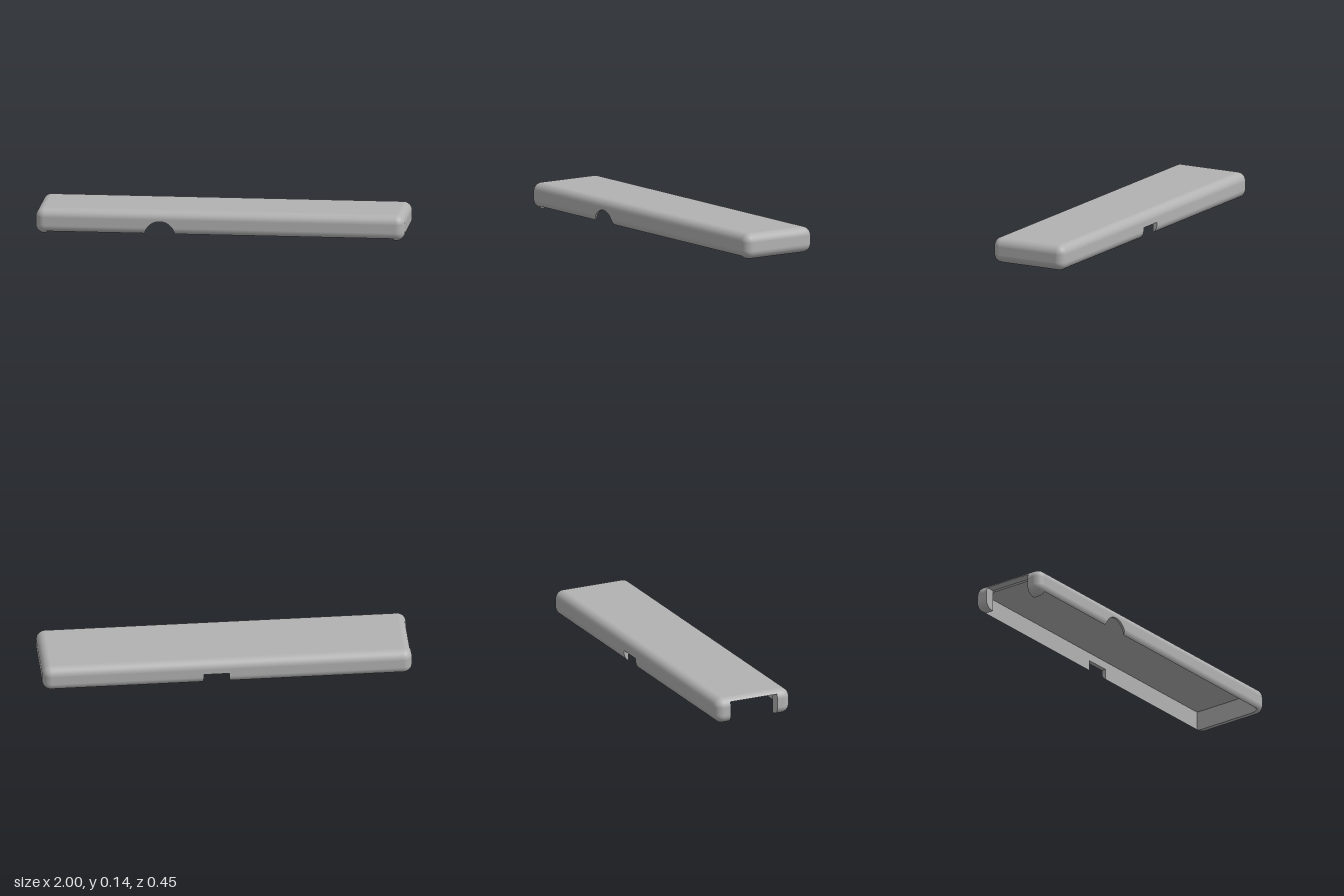
import * as THREE from 'three';
import { mergeVertices, toCreasedNormals } from 'three/addons/utils/BufferGeometryUtils.js';

const H = 0.14, R = 0.048;                // height and edge radius
const CX = 1 - R, CZ = 0.223 - R;         // flat core of the rounded box
const CAV = { x: 0.94, front: 0.21, back: -0.198, top: 0.11 };
const SLOT = { half: 0.14, top: 0.12 };   // open slot in the -x end
const NOTCH = { x0: -0.01, x1: 0.13, top: 0.065 };
const ARCH = { x: -0.325, r: 0.083 };

// Distance of the rounded side from the core at height y
function bulge(y) {
  const d = y > H - R ? y - (H - R) : y < R ? y - R : 0;
  return Math.sqrt(Math.max(0, R * R - d * d));
}

// Height at which the lower rounding meets a cavity wall
const lipHeight = (z) => R - Math.sqrt(R * R - (Math.abs(z) - CZ) ** 2);

// Turn [position, lower edge] points into columns, splitting vertical jumps
function addWall(columns, points, place) {
  points.forEach(([p, y], i) => {
    const prev = points[i - 1];
    if (prev && prev[0] === p) {
      const lo = Math.min(prev[1], y), span = Math.abs(y - prev[1]);
      for (let k = 1; k < 10; k++) {
        const t = y > prev[1] ? k / 10 : 1 - k / 10;
        columns.push({ ...place(p), low: lo + span * t * t });
      }
    }
    columns.push({ ...place(p), low: y });
  });
}

function addCorner(columns, x, z, from) {
  for (let k = 0; k <= 10; k++) {
    const a = from - (k / 10) * Math.PI / 2;
    columns.push({ x, z, dx: Math.cos(a), dz: Math.sin(a), low: 0 });
  }
}

// Columns running once round the outside, each with its own lower edge
function perimeter() {
  const columns = [];
  const fl = lipHeight(CAV.front), bl = lipHeight(CAV.back);

  // Front wall with the half-round thumb cut
  const front = [[-CX, 0], [-CAV.x, 0], [-CAV.x, fl]];
  const aMax = Math.acos(Math.sqrt(ARCH.r ** 2 - fl ** 2) / ARCH.r);
  for (let k = 0; k <= 32; k++) {
    const a = Math.PI - aMax - (k / 32) * (Math.PI - 2 * aMax);
    front.push([ARCH.x + ARCH.r * Math.cos(a), ARCH.r * Math.sin(a)]);
  }
  front.push([CAV.x, fl], [CAV.x, 0], [CX, 0]);
  addWall(columns, front, (x) => ({ x, z: CZ, dx: 0, dz: 1 }));
  addCorner(columns, CX, CZ, Math.PI / 2);

  // Closed end
  addWall(columns, [[CZ, 0], [-CZ, 0]], (z) => ({ x: CX, z, dx: 1, dz: 0 }));
  addCorner(columns, CX, -CZ, 0);

  // Back wall with the square notch
  addWall(columns, [
    [CX, 0], [CAV.x, 0], [CAV.x, bl],
    [NOTCH.x1, bl], [NOTCH.x1, NOTCH.top], [NOTCH.x0, NOTCH.top], [NOTCH.x0, bl],
    [-CAV.x, bl], [-CAV.x, 0], [-CX, 0],
  ], (x) => ({ x, z: -CZ, dx: 0, dz: -1 }));
  addCorner(columns, -CX, -CZ, -Math.PI / 2);

  // Slotted end
  addWall(columns, [
    [-CZ, 0], [-SLOT.half, 0], [-SLOT.half, SLOT.top],
    [SLOT.half, SLOT.top], [SLOT.half, 0], [CZ, 0],
  ], (z) => ({ x: -CX, z, dx: -1, dz: 0 }));
  addCorner(columns, -CX, CZ, Math.PI);
  return columns;
}

function outerPoint(c, y) {
  const s = bulge(y);
  return new THREE.Vector3(c.x + c.dx * s, y, c.z + c.dz * s);
}

// Join neighbouring columns of points, leaving out empty triangles
function strip(rows) {
  const index = [], n = rows[0].length, flat = rows.flat();
  const tri = (a, b, c) => {
    if (new THREE.Triangle(flat[a], flat[b], flat[c]).getArea() > 1e-10) index.push(a, b, c);
  };
  for (let i = 0; i + 1 < rows.length; i++) {
    for (let k = 0; k + 1 < n; k++) {
      const a = i * n + k, b = a + n;
      tri(a, a + 1, b + 1);
      tri(a, b + 1, b);
    }
  }
  const g = new THREE.BufferGeometry().setFromPoints(flat);
  g.setIndex(index);
  return g;
}

function outerGeometry(columns) {
  const levels = [];
  for (let k = 0; k <= 10; k++) levels.push(H - R + R * Math.cos(k / 10 * Math.PI / 2));
  for (let k = 0; k <= 10; k++) levels.push(R - R * Math.sin(k / 10 * Math.PI / 2));
  const normals = [];
  const rows = columns.map((c) => levels.map((level) => {
    const y = Math.max(level, c.low), s = bulge(y) / R;
    const d = y > H - R ? y - (H - R) : y < R ? y - R : 0;
    normals.push(c.dx * s, d / R, c.dz * s);
    return outerPoint(c, y);
  }));
  const g = strip(rows);
  g.setAttribute('normal', new THREE.Float32BufferAttribute(normals, 3));
  return g;
}

// Cut faces and lips, then the cavity walls up to the ceiling
function liningGeometry(columns) {
  const rows = columns.map((c) => {
    const o = outerPoint(c, c.low);
    const x = THREE.MathUtils.clamp(o.x, -CAV.x, CAV.x);
    const z = THREE.MathUtils.clamp(o.z, CAV.back, CAV.front);
    return [o, new THREE.Vector3(x, c.low, z), new THREE.Vector3(x, CAV.top, z)];
  });
  return toCreasedNormals(mergeVertices(strip(rows), 1e-6), Math.PI / 7);
}

export function createModel() {
  const group = new THREE.Group();
  group.name = 'slidingCover';
  const grey = new THREE.MeshStandardMaterial({ color: 0xb2b2b2 });
  grey.name = 'plainGrey';
  const add = (name, geometry) => {
    const mesh = new THREE.Mesh(geometry, grey);
    mesh.name = name;
    group.add(mesh);
    return mesh;
  };

  const columns = perimeter();
  columns.push(columns[0]);
  add('roundedSides', outerGeometry(columns));
  add('cavityWalls', liningGeometry(columns));

  // Flat top and the ceiling of the hollow
  add('topPanel', new THREE.PlaneGeometry(2 * CX, 2 * CZ).rotateX(-Math.PI / 2).translate(0, H, 0));
  const depth = CAV.front - CAV.back;
  add('cavityCeiling', new THREE.PlaneGeometry(2 * CAV.x, depth).rotateX(Math.PI / 2)
    .translate(0, CAV.top, (CAV.front + CAV.back) / 2));
  return group;
}
